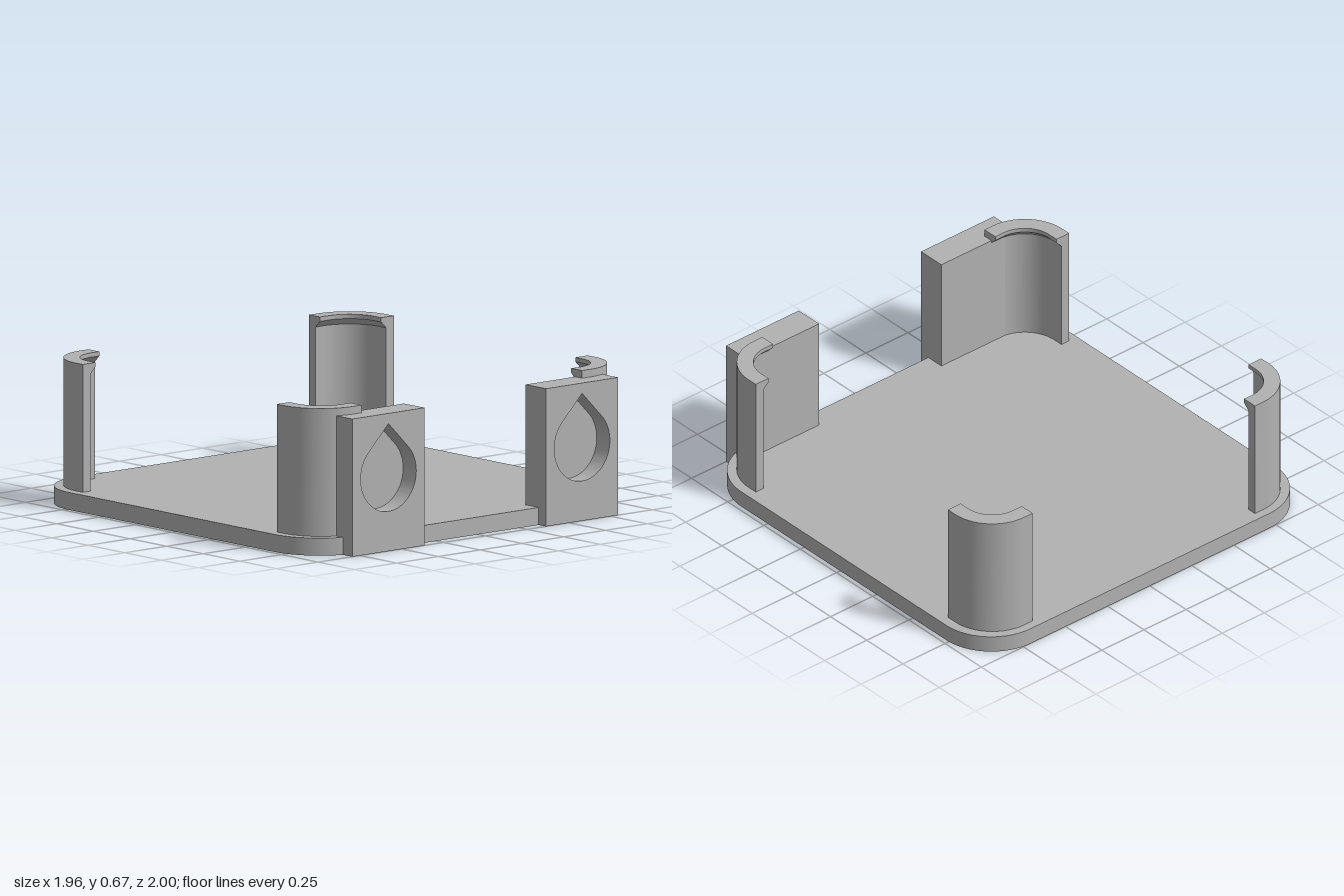
import * as THREE from 'three';
import { toCreasedNormals } from 'three/addons/utils/BufferGeometryUtils.js';

const BASE_H = 0.08;

// Plate with rounded corners, lying on y = 0
function plateGeometry(hw, hd, r) {
  const s = new THREE.Shape();
  s.absarc(hw - r, hd - r, r, 0, Math.PI / 2);
  s.absarc(-hw + r, hd - r, r, Math.PI / 2, Math.PI);
  s.absarc(-hw + r, -hd + r, r, Math.PI, Math.PI * 1.5);
  s.absarc(hw - r, -hd + r, r, Math.PI * 1.5, Math.PI * 2);
  const g = new THREE.ExtrudeGeometry(s, { depth: BASE_H, bevelEnabled: false, curveSegments: 20 });
  return toCreasedNormals(g.rotateX(-Math.PI / 2), 0.5);
}

// Curved corner wall with an inward snap lip: a profile swept round a quarter
// circle, with a short straight run at both ends
function postGeometry() {
  const outer = 0.22, wall = outer - 0.045, lip = outer - 0.075, top = 0.665, run = 0.05;
  const profile = new THREE.Shape([
    [wall, BASE_H - 0.01], [outer, BASE_H - 0.01], [outer, top],
    [lip, top], [lip, top - 0.02], [wall, top - 0.05],
  ].map(([x, y]) => new THREE.Vector2(x, y)));
  const steps = 26;
  const g = new THREE.ExtrudeGeometry(profile, { depth: steps, steps, bevelEnabled: false });
  const p = g.attributes.position;
  for (let i = 0; i < p.count; i++) {
    const r = p.getX(i), k = Math.round(p.getZ(i));
    const a = THREE.MathUtils.clamp((k - 1) / (steps - 2), 0, 1) * Math.PI / 2;
    p.setXYZ(i,
      r * Math.cos(a) - (k === steps ? run : 0),
      p.getY(i),
      r * Math.sin(a) - (k === 0 ? run : 0));
  }
  return toCreasedNormals(g, 0.5);
}

// Upright block front, pierced by a teardrop
function teardropBlockGeometry(w, h, depth) {
  const s = new THREE.Shape();
  s.moveTo(-w / 2, 0).lineTo(w / 2, 0).lineTo(w / 2, h).lineTo(-w / 2, h).closePath();
  const r = 0.166, cy = 0.348;
  const hole = new THREE.Path();
  hole.absarc(0, cy, r, Math.PI / 4, Math.PI * 3 / 4, true);
  hole.lineTo(0, cy + r * Math.SQRT2);
  hole.closePath();
  s.holes.push(hole);
  const g = new THREE.ExtrudeGeometry(s, { depth, bevelEnabled: false, curveSegments: 40 });
  return toCreasedNormals(g, 0.5);
}

export function createModel() {
  const model = new THREE.Group();
  model.name = 'cornerTray';
  const grey = new THREE.MeshStandardMaterial({ color: 0xb2b2b2 });
  grey.name = 'grey plastic';

  const add = (parent, name, geometry, x, y, z) => {
    const mesh = new THREE.Mesh(geometry, grey);
    mesh.name = name;
    mesh.position.set(x, y, z);
    parent.add(mesh);
    return mesh;
  };

  // Base plate
  add(model, 'basePlate', plateGeometry(0.978, 0.975, 0.27), 0, 0, -0.025);

  // Four corner posts, turned a quarter each
  const post = postGeometry();
  [
    ['frontLeftPost', 0.71, 0.688],
    ['backLeftPost', 0.71, -0.738],
    ['backRightPost', -0.71, -0.738],
    ['frontRightPost', -0.71, 0.688],
  ].forEach(([name, x, z], i) => {
    add(model, name, post, x, 0, z).rotation.y = i * Math.PI / 2;
  });

  // Two front blocks, each with a blind teardrop recess
  const w = 0.432, h = 0.63, back = 0.86, floor = 0.91;
  const face = teardropBlockGeometry(w, h, 1 - floor);
  const slab = new THREE.BoxGeometry(w, h, floor - back);
  for (const side of [1, -1]) {
    const block = new THREE.Group();
    block.name = side > 0 ? 'leftBlock' : 'rightBlock';
    block.position.x = side * 0.579;
    add(block, 'recessedFace', face, 0, 0, floor);
    add(block, 'backSlab', slab, 0, h / 2, (floor + back) / 2);
    model.add(block);
  }
  return model;
}
